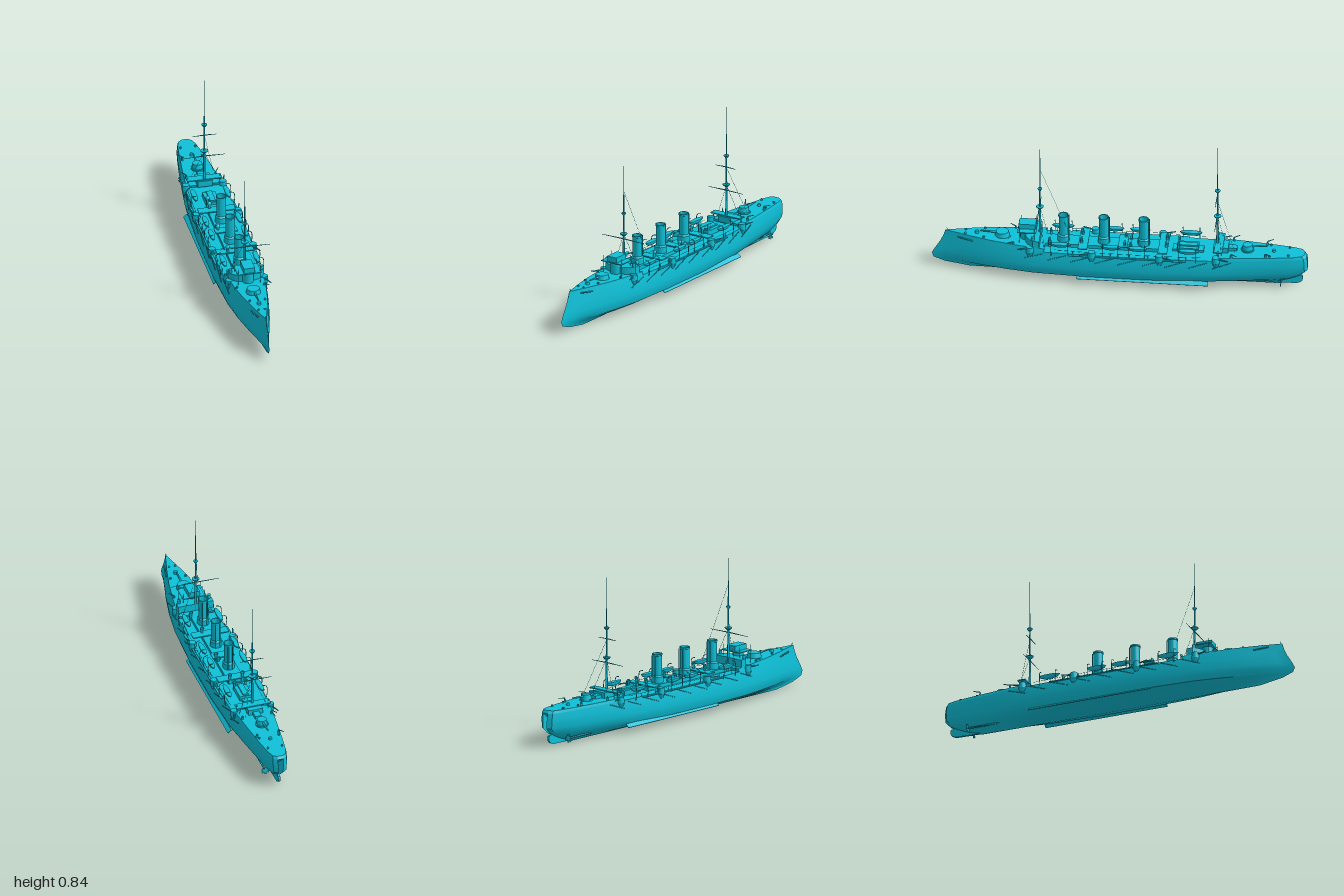
import * as THREE from 'three';
import { toCreasedNormals } from 'three/addons/utils/BufferGeometryUtils.js';

const mat = new THREE.MeshStandardMaterial({ color: 0x0dc0d8, side: THREE.DoubleSide });

// deck plan: fraction of full beam from stern (t = 0) to bow (t = 1)
const PLAN = [[0, .13], [.008, .33], [.03, .45], [.08, .58], [.16, .75], [.25, .91], [.4, 1], [.58, 1],
  [.72, .92], [.8, .78], [.87, .58], [.93, .34], [.97, .15], [1, .008]];
function plan(t) {
  let i = 1;
  while (i < PLAN.length - 1 && t > PLAN[i][0]) i++;
  const [a, fa] = PLAN[i - 1], [b, fb] = PLAN[i];
  return fa + (fb - fa) * (t - a) / (b - a);
}
// hull levels: height, half beam, bow z, stern z, fineness
const LEVELS = [[0, .004, .8, -.8, 1], [.022, .072, .93, -.87, 1.8], [.045, .112, .99, -.92, 1.5],
  [.07, .121, 1, -.97, 1.3], [.1, .124, .985, -1, 1.15], [.15, .12, .955, -1, 1.03], [.183, .114, .94, -.995, 1]];
const RAISED = [LEVELS[6], [.2, .11, .927, -.985, 1]];
const sideX = z => .116 * plan((z + .995) / 1.935);

// lofted body between two stations, mirrored about the centre line
function loft(levels, t0, t1, sheer = () => 0) {
  const ts = [t0, ...PLAN.map(p => p[0]).concat([.2, .33, .49, .65, .76, .835, .9]).filter(t => t > t0 && t < t1).sort((a, b) => a - b), t1];
  const pos = [], idx = [], m = levels.length * 2;
  for (const t of ts) {
    const side = levels.map(([y, w, zb, zs, p], k) => {
      const z = zs + (zb - zs) * t;
      return [w * plan(t) ** p, y + (k === levels.length - 1 ? sheer(z) : 0), z];
    });
    for (const q of side) pos.push(...q);
    for (const q of side.reverse()) pos.push(-q[0], q[1], q[2]);
  }
  for (let i = 0; i < ts.length - 1; i++) for (let j = 0; j < m; j++) {
    const a = i * m + j, b = i * m + (j + 1) % m, c = a + m, d = b + m;
    idx.push(a, b, c, b, d, c);
  }
  const e = (ts.length - 1) * m;
  for (let j = 1; j < m - 1; j++) idx.push(0, j + 1, j, e, e + j, e + j + 1);
  const g = new THREE.BufferGeometry();
  g.setAttribute('position', new THREE.Float32BufferAttribute(pos, 3));
  g.setIndex(idx);
  return toCreasedNormals(g, .5);
}

export function createModel() {
  const root = new THREE.Group();
  const add = (name, geo, x = 0, y = 0, z = 0) => {
    const mesh = new THREE.Mesh(geo, mat);
    mesh.name = name;
    mesh.position.set(x, y, z);
    root.add(mesh);
    return mesh;
  };
  const box = (name, w, h, d, x, y, z) => add(name, new THREE.BoxGeometry(w, h, d), x, y + h / 2, z);
  const cyl = (name, r0, r1, h, x, y, z, n = 16) => add(name, new THREE.CylinderGeometry(r1, r0, h, n), x, y + h / 2, z);
  const rod = (name, a, b, r0, r1 = r0, n = 6) => {
    const A = new THREE.Vector3(...a), B = new THREE.Vector3(...b), d = B.clone().sub(A);
    const mesh = add(name, new THREE.CylinderGeometry(r1, r0, d.length(), n));
    mesh.position.copy(A.add(B).multiplyScalar(.5));
    mesh.quaternion.setFromUnitVectors(new THREE.Vector3(0, 1, 0), d.normalize());
    return mesh;
  };

  // hull, raised ends, rudder and bilge keels
  add('hull', loft(LEVELS, 0, 1));
  add('forecastle', loft(RAISED, .72, 1, z => Math.max(0, z - .4) * .04));
  add('poop', loft(RAISED, 0, .245, () => -.002));
  const rud = new THREE.Shape();
  rud.moveTo(.8, .005);
  rud.lineTo(.94, .008);
  rud.quadraticCurveTo(.985, .02, .97, .055);
  rud.lineTo(.9, .075);
  rud.lineTo(.8, .06);
  const rudder = add('rudder', new THREE.ExtrudeGeometry(rud, { depth: .012, bevelEnabled: false }), -.006);
  rudder.rotation.y = Math.PI / 2;
  for (const s of [-1, 1]) {
    const keel = box('bilgeKeel', .026, .004, .7, s * .112, .04, -.13);
    keel.rotation.z = -s * .7;
    rod('propellerShaft', [s * .04, .03, -.68], [s * .04, .03, -.86], .005);
    for (let k = 0; k < 3; k++) {
      const blade = box('propellerBlade', .012, .045, .003, s * .04, .0075, -.86);
      blade.rotation.z = k * Math.PI / 3;
    }
  }

  // central casing, cross decks and skylights
  box('casing', .09, .022, .66, 0, .18, .08);
  box('engineSkylight', .07, .03, .11, 0, .18, -.365);
  box('skylightRidge', .03, .008, .1, 0, .21, -.365);
  for (const z of [.19, -.02, -.235]) box('crossDeck', z < 0 && z > -.1 ? .12 : .2, .006, .05, 0, .208, z);
  for (const z of [-.3, -.43]) box('hatch', .05, .015, .035, 0, .18, z);

  // three funnels with casing, cap and open top
  const funnel = [[.032, 0], [.032, .035], [.025, .042], [.025, .148], [.028, .15], [.028, .158], [.023, .158], [.022, .06], [0, .06]]
    .map(p => new THREE.Vector2(...p));
  for (const z of [.3, .085, -.127]) {
    add('funnel', toCreasedNormals(new THREE.LatheGeometry(funnel, 20), .6), 0, .2, z);
    for (const s of [-1, 1]) rod('steamPipe', [s * .012, .2, z - .029], [s * .012, .35, z - .029], .003);
  }

  // ventilators with cowls
  for (const [x, z, h] of [[.04, .2, .06], [.04, -.03, .05], [.035, -.25, .06], [.03, -.315, .055], [.045, .37, .05], [.035, -.06, .04]])
    for (const s of [-1, 1]) {
      cyl('ventilator', .007, .007, h, s * x, .18, z, 10);
      const cowl = add('cowl', new THREE.SphereGeometry(.012, 10, 8, 0, Math.PI), s * x, .18 + h, z - .004);
      cowl.scale.z = .9;
    }

  // fore bridge with rounded front, roofed platform and posts
  const front = new THREE.Shape();
  front.moveTo(-.098, 0);
  front.lineTo(.098, 0);
  front.lineTo(.098, .035);
  front.quadraticCurveTo(.06, .085, 0, .085);
  front.quadraticCurveTo(-.06, .085, -.098, .035);
  const bridge = add('bridgeHouse', new THREE.ExtrudeGeometry(front, { depth: .042, bevelEnabled: false, curveSegments: 6 }), 0, .242, .42);
  bridge.rotation.x = Math.PI / 2;
  cyl('conningTower', .03, .03, .07, 0, .2, .5);
  box('wheelhouse', .06, .03, .09, 0, .272, .49);
  box('bridgePlatform', .13, .005, .1, 0, .268, .49);
  for (const s of [-1, 1]) for (const z of [.45, .53]) rod('bridgePost', [s * .06, .2, z], [s * .06, .3, z], .0015);

  // after bridge
  box('afterHouse', .08, .035, .08, 0, .193, -.54);
  box('afterBridge', .19, .006, .045, 0, .228, -.53);
  for (const s of [-1, 1]) rod('bridgePost', [s * .088, .19, -.53], [s * .088, .24, -.53], .002);
  box('sternHouse', .035, .02, .05, 0, .195, -.6);

  // shielded guns fore and aft
  const chase = (z, dir, r) => {
    cyl('gunRing', r * 1.15, r * 1.15, .008, 0, .2, z, 20);
    cyl('gunShield', r, r * .85, .028, 0, .206, z, 16);
    rod('gunBarrel', [0, .224, z + dir * r * .7], [0, .229, z + dir * (r + .075)], .006, .004, 8);
  };
  chase(.625, 1, .04);
  chase(-.68, -1, .03);

  // broadside guns in sponsons, boats on davits, net booms
  const boatGeo = new THREE.SphereGeometry(1, 12, 6, 0, Math.PI * 2, Math.PI / 2, Math.PI / 2);
  for (const s of [-1, 1]) {
    for (const [z, d] of [[.47, 1], [.14, 1], [-.22, -1], [-.52, -1]]) {
      const x = s * (sideX(z) - .004);
      cyl('sponson', .012, .022, .025, x, .15, z, 14);
      cyl('gunHouse', .021, .019, .032, x, .175, z, 14);
      rod('sideGun', [x, .196, z], [x + s * .022, .198, z + d * .065], .0045, .003, 8);
    }
    for (const [z, len] of [[.31, .06], [.04, .055], [-.1, .055], [-.37, .06]]) {
      const x = s * .09;
      add('boat', boatGeo, x, .232, z).scale.set(.015, .022, len);
      add('boatCover', boatGeo, x, .232, z).scale.set(.015, -.004, len);
      for (const e of [-1, 1]) {
        const path = new THREE.CatmullRomCurve3([[.114, .17], [.12, .215], [.114, .245], [.092, .252]]
          .map(([px, py]) => new THREE.Vector3(s * px, py, z + e * len * .75)));
        add('davit', new THREE.TubeGeometry(path, 8, .002, 5));
      }
    }
    for (let k = 0; k < 9; k++) {
      const z = .5 - k * .125;
      rod('netBoom', [s * (sideX(z) + .008), .14, z], [s * (sideX(z - .1) + .006), .176, z - .1], .002, .002, 5);
    }
    box('netShelf', .012, .004, .62, s * .117, .176, -.05);
    // deck-edge rails
    for (let k = 0; k < 8; k++) {
      const z = .34 - k * .1;
      rod('rail', [s * (sideX(z) - .006), .2, z], [s * (sideX(z - .1) - .006), .2, z - .1], .001, .001, 4);
      rod('railPost', [s * (sideX(z) - .006), .18, z], [s * (sideX(z) - .006), .2, z], .001, .001, 4);
    }
    // anchors, bollards and small deck guns
    rod('anchor', [s * .03, .2, .86], [s * .047, .19, .78], .004);
    for (const z of [.82, .72, -.8, -.9]) cyl('bollard', .005, .006, .012, s * (sideX(z) - .018), z > 0 ? .21 : .195, z, 8);
    for (const z of [.56, -.6, -.78]) {
      const x = s * (sideX(z) - .015);
      cyl('smallGunMount', .007, .004, .022, x, .195, z, 8);
      rod('smallGun', [x, .218, z], [x + s * .02, .22, z + Math.sign(z) * .03], .003, .002, 6);
    }
    cyl('searchlight', .009, .009, .02, s * .085, .242, .455, 10);
  }
  cyl('capstan', .012, .01, .018, 0, .21, .76, 12);
  cyl('sternCapstan', .01, .008, .015, 0, .195, -.82, 12);
  rod('jackstaff', [0, .2, .915], [0, .235, .92], .0015);

  // masts with fighting tops, yards and stays
  const mast = (z, top, tops, yards) => {
    rod('lowerMast', [0, .18, z], [0, .42, z], .007, .005, 10);
    rod('topMast', [0, .4, z], [0, .62, z], .0045, .003, 8);
    rod('poleMast', [0, .6, z], [0, top, z], .0025, .001, 6);
    for (const [y, r] of tops) {
      cyl('mastTop', r * .45, r, .01, 0, y - .01, z, 12);
      cyl('mastTopRim', r, r, .004, 0, y, z, 12);
    }
    for (const [y, w] of yards) for (const s of [-1, 1])
      rod('yard', [0, y, z + .006], [s * w, y - .002, z + .006], .003, .0012);
    for (const s of [-1, 1]) rod('shroud', [0, .4, z], [s * .085, .19, z - .03], .0008, .0008, 4);
  };
  mast(.425, .78, [[.515, .012], [.4, .02]], [[.375, .135]]);
  mast(-.52, .84, [[.565, .015], [.403, .02]], [[.505, .065], [.375, .11]]);
  rod('foreStay', [0, .64, .425], [.035, .25, .26], .0008, .0008, 4);
  rod('mainStay', [0, .5, -.52], [.07, .22, -.62], .0008, .0008, 4);
  return root;
}
